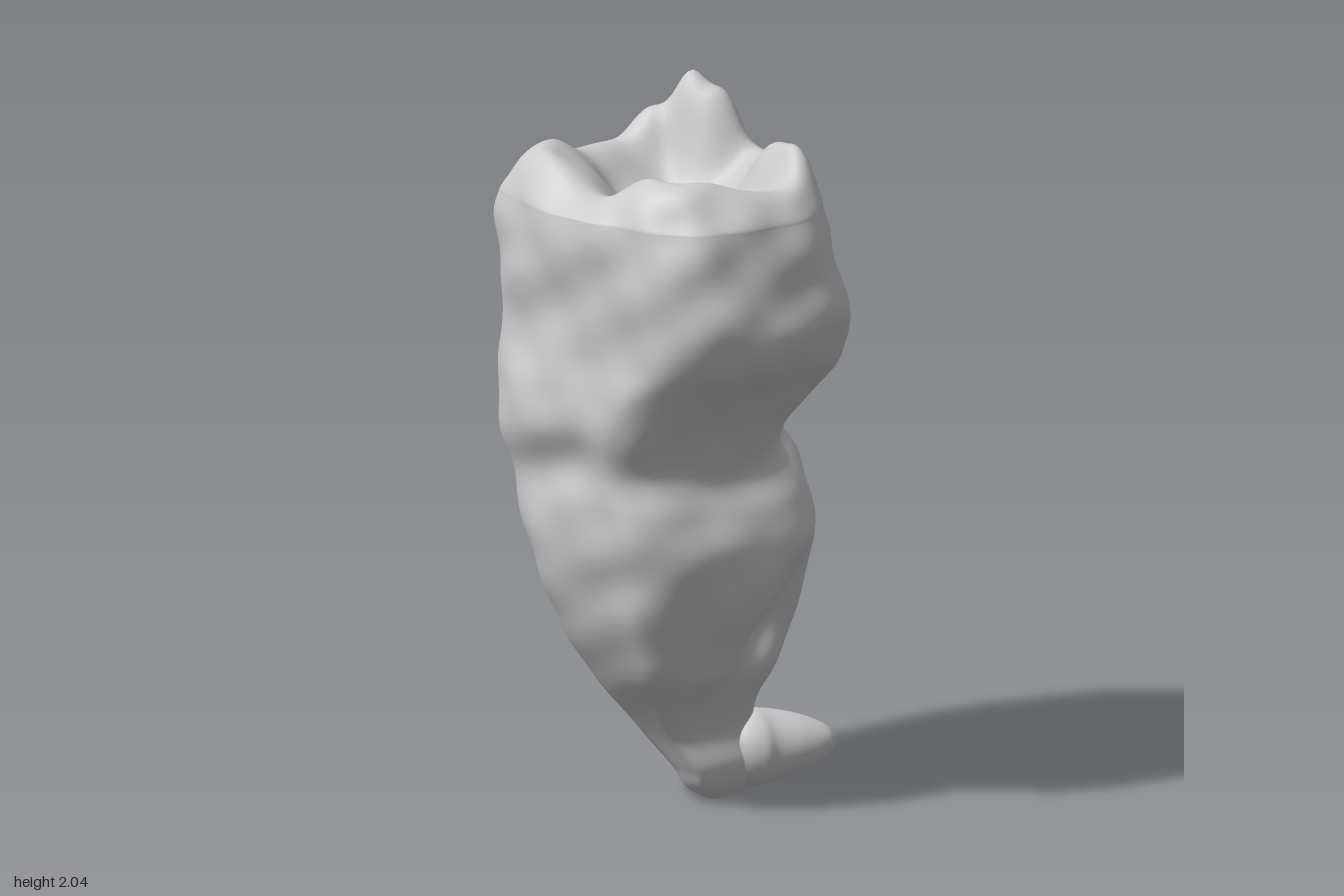
import * as THREE from 'three';
import { mergeVertices } from 'three/addons/utils/BufferGeometryUtils.js';

const AROUND = 140, SIDE = 130, CAP = 50, TOP = 1.76;

// Cross-section seen from above (x, z): square with one corner cut
const outline = new THREE.CatmullRomCurve3([
  [-0.1, -0.5], [0, -0.49], [0.1, -0.43], [0.2, -0.34], [0.3, -0.28], [0.42, -0.19], [0.485, -0.03],
  [0.465, 0.15], [0.42, 0.3], [0.365, 0.41], [0.27, 0.475], [0.1, 0.485], [-0.15, 0.495], [-0.3, 0.46],
  [-0.44, 0.38], [-0.485, 0.2], [-0.46, 0], [-0.43, -0.25], [-0.36, -0.4], [-0.25, -0.46],
].map(([x, z]) => new THREE.Vector3(x / 0.485, 0, z / 0.5)), true);

// Extents by height: y, xMin, xMax, zMin, zMax
const levels = [
  [0, -0.05, -0.01, -0.2, -0.06], [0.03, -0.085, 0.025, -0.27, 0], [0.1, -0.125, 0.06, -0.31, 0.05],
  [0.2, -0.185, 0.04, -0.29, 0.115], [0.3, -0.24, 0.085, -0.305, 0.195], [0.4, -0.295, 0.16, -0.355, 0.275],
  [0.5, -0.34, 0.19, -0.41, 0.335], [0.6, -0.38, 0.235, -0.45, 0.38], [0.7, -0.41, 0.26, -0.475, 0.41],
  [0.8, -0.425, 0.265, -0.5, 0.44], [0.9, -0.435, 0.23, -0.49, 0.445], [1, -0.445, 0.185, -0.43, 0.44],
  [1.13, -0.475, 0.225, -0.425, 0.48], [1.25, -0.485, 0.33, -0.475, 0.475], [1.35, -0.48, 0.44, -0.445, 0.46],
  [1.45, -0.475, 0.485, -0.43, 0.46], [1.6, -0.48, 0.465, -0.38, 0.475], [1.7, -0.475, 0.455, -0.345, 0.48],
  [1.8, -0.455, 0.43, -0.305, 0.465],
];
const extents = new THREE.CubicInterpolant(
  levels.map((l) => l[0]), levels.flatMap((l) => l.slice(1)), 4);

// Cusps on the chewing surface: x, z, height, radius in x, radius in z
const cusps = [
  [-0.27, 0.31, 0.12, 0.19, 0.15], [-0.17, -0.21, 0.22, 0.1, 0.1], [-0.31, -0.18, 0.14, 0.11, 0.11],
  [0.17, 0.3, 0.115, 0.17, 0.15], [0.24, -0.12, 0.15, 0.16, 0.12], [0.36, 0.08, 0.06, 0.13, 0.2],
  [-0.36, 0.05, 0.06, 0.13, 0.2], [0.02, -0.22, 0.05, 0.15, 0.12],
];
const gauss = (a, b) => Math.exp(-a * a - b * b);
const knob = (a, b) => Math.exp(-((a * a + b * b) ** 1.6));
const biteHeight = (x, z, s) => cusps.reduce(
  (h, [cx, cz, height, rx, rz]) => h + height * knob((x - cx) / rx, (z - cz) / rz),
  1.72 + 0.08 * gauss((s - 0.85) / 0.25, 0));

// Soft, irregular surface bumps
const bumps = (x, y, z) =>
  0.4 * Math.sin(9 * x + 10 * y + 7 * z) +
  0.5 * Math.sin(19 * z - 15 * y + 11 * x + 1) +
  0.4 * Math.sin(27 * y + 13 * z - 16 * x) +
  0.35 * Math.sin(31 * x - 29 * z + 19 * y);

// Smooth wall point; the root is rounder than the crown and the neck line tilts
function wallPoint(p, y) {
  const a = Math.atan2(p.z, p.x), r = Math.hypot(p.x, p.z);
  const tilt = 0.03 * Math.sin(2 * a + 2);
  const [x0, x1, z0, z1] = extents.evaluate(y + tilt * gauss((y - 1.05) / 0.22, 0));
  const round = 0.25 * (1 - THREE.MathUtils.smoothstep(y, 0.85, 1.2));
  const k = 1 - round + round / r;
  const cx = (x0 + x1) / 2, cz = (z0 + z1) / 2;
  const dx = p.x * k * (x1 - x0) / 2;
  const z = cz + p.z * k * (z1 - z0) / 2;
  // slanting furrow between the root lobes
  const furrow = dx > 0 ? 0.25 * gauss((z + 0.11 + (y - 0.55) * 0.5) / 0.09, (y - 0.53) / 0.2) : 0;
  return [cx + dx * (1 - furrow), z];
}

// Root and crown as one skin: rising rings, then shrinking rings over the bite
function toothGeometry() {
  const pos = [], index = [];
  const ring = outline.getSpacedPoints(AROUND).slice(0, AROUND);
  const push = (x, y, z) => {
    const k = 1 + 0.018 * bumps(x, y, z);
    pos.push(-0.05 + (x + 0.05) * k, y, z * k);
  };
  for (let j = 0; j <= SIDE; j++) {
    const y = TOP * Math.pow(j / SIDE, 1.15);
    for (const p of ring) {
      const [x, z] = wallPoint(p, y);
      push(x, y, z);
    }
  }
  for (let j = 1; j <= CAP; j++) {
    const s = Math.cos((j / CAP) * Math.PI / 2);
    const rise = Math.sqrt(1 - Math.pow(s, 6));
    for (const p of ring) {
      const [wx, wz] = wallPoint(p, TOP);
      const x = wx * s, z = 0.06 + (wz - 0.06) * s;
      const h = biteHeight(x, z, s) + 0.006 * bumps(x, TOP, z);
      push(x, TOP + (h - TOP) * rise, z);
    }
  }
  for (let j = 0; j < SIDE + CAP; j++) for (let i = 0; i < AROUND; i++) {
    const n = (i + 1) % AROUND, a = j * AROUND, b = a + AROUND;
    index.push(a + i, b + i, a + n, a + n, b + i, b + n);
  }
  // close the tip
  for (let i = 1; i < AROUND - 1; i++) index.push(0, i, i + 1);
  const g = new THREE.BufferGeometry();
  g.setAttribute('position', new THREE.Float32BufferAttribute(pos, 3));
  g.setIndex(index);
  return weld(g);
}

// Hooked root end: a tube whose radius tapers and rounds off
function hookGeometry() {
  const path = new THREE.CatmullRomCurve3([
    [-0.03, 0.13, -0.02], [-0.01, 0.13, -0.14], [0.02, 0.13, -0.23], [0.085, 0.135, -0.31], [0.155, 0.145, -0.38],
  ].map((p) => new THREE.Vector3(...p)));
  const n = 40, sides = 32;
  const g = new THREE.TubeGeometry(path, n, 1, sides, false);
  const pos = g.attributes.position, v = new THREE.Vector3();
  for (let i = 0; i <= n; i++) {
    const t = i / n, c = path.getPointAt(t);
    const start = THREE.MathUtils.smoothstep(t, -0.1, 0.45);
    const r = start * (0.122 - 0.065 * t * t) * Math.sqrt(1 - Math.pow(t, 8));
    for (let k = 0; k <= sides; k++) {
      const id = i * (sides + 1) + k;
      v.fromBufferAttribute(pos, id).sub(c).multiplyScalar(r).add(c);
      pos.setXYZ(id, v.x, v.y, v.z);
    }
  }
  g.deleteAttribute('uv');
  g.deleteAttribute('normal');
  return weld(g);
}

function weld(geometry) {
  const merged = mergeVertices(geometry, 1e-5);
  merged.computeVertexNormals();
  return merged;
}

export function createModel() {
  const group = new THREE.Group();
  group.name = 'tooth';
  const material = new THREE.MeshStandardMaterial({ color: 0xcccccc, roughness: 0.8 });
  const add = (name, geometry) => {
    const mesh = new THREE.Mesh(geometry, material);
    mesh.name = name;
    group.add(mesh);
  };
  add('crownAndRoot', toothGeometry());
  add('rootHook', hookGeometry());
  return group;
}
